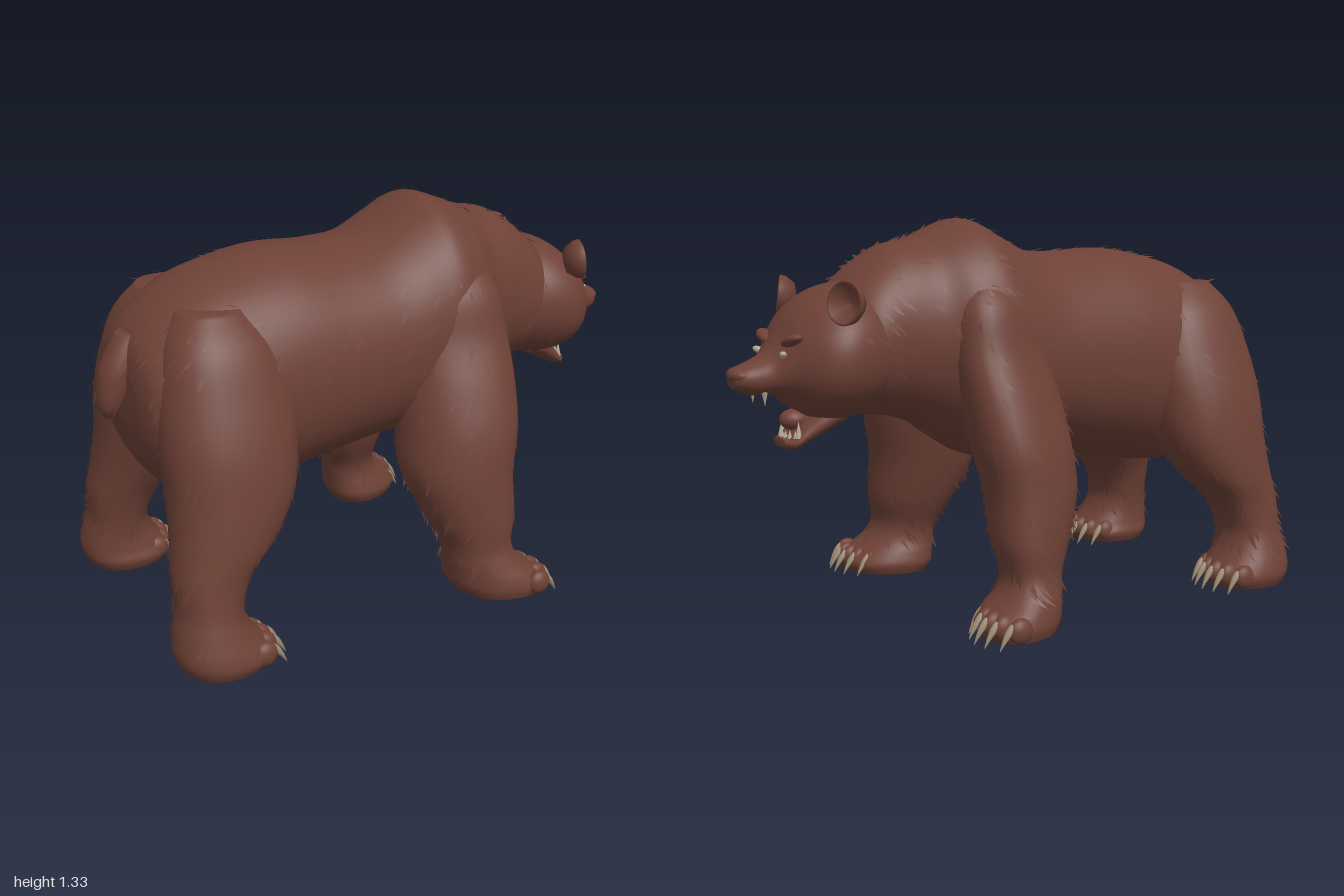
import * as THREE from 'three';
import { mergeGeometries } from 'three/addons/utils/BufferGeometryUtils.js';

const mat = (name, color) => {
  const m = new THREE.MeshStandardMaterial({ color, side: THREE.DoubleSide });
  m.name = name;
  return m;
};

// Seeded random for the scattered fur
let seed = 7;
const rnd = () => (seed = (seed * 16807) % 2147483647) / 2147483647;

// Smooth interpolation through the rows of a section table
function rowAt(rows, t) {
  const n = rows.length - 1, i = Math.min(Math.floor(t * n), n - 1), f = t * n - i;
  const [a, b, c, d] = [-1, 0, 1, 2].map(k => rows[Math.max(0, Math.min(n, i + k))]);
  return b.map((v, k) => v + 0.5 * f * (c[k] - a[k] +
    f * (2 * a[k] - 5 * v + 4 * c[k] - d[k] + f * (3 * (v - c[k]) + d[k] - a[k]))));
}

// Skin over rounded sections [s, a0, a1, b0, b1]:
// axis 'x' -> s=x, a=y, b=z;  axis 'y' -> s=y, a=x, b=z
function loft(rows, { axis = 'x', seg = 32, steps = 48, power = 0.88, shear = 0 } = {}) {
  const pos = [], idx = [];
  const put = (s, a, b) => axis === 'x' ? pos.push(s, a, b) : pos.push(a, s, b);
  const tri = (a, b, c) => axis === 'x' ? idx.push(a, b, c) : idx.push(a, c, b);
  const pw = v => Math.sign(v) * Math.abs(v) ** power;
  for (let i = 0; i <= steps; i++) {
    const [s, a0, a1, b0, b1] = rowAt(rows, i / steps);
    for (let j = 0; j < seg; j++) {
      const q = j / seg * Math.PI * 2, da = pw(Math.cos(q)) * (a1 - a0) / 2;
      put(s, (a0 + a1) / 2 + da, (b0 + b1) / 2 + pw(Math.sin(q)) * (b1 - b0) / 2 + shear * da);
    }
  }
  for (let i = 0; i < steps; i++) for (let j = 0; j < seg; j++) {
    const k = (j + 1) % seg, p = i * seg, r = p + seg;
    tri(p + j, p + k, r + j);
    tri(p + k, r + k, r + j);
  }
  const first = rows[0], last = rows[rows.length - 1], c = pos.length / 3;
  for (const e of [first, last]) put(e[0], (e[1] + e[2]) / 2, (e[3] + e[4]) / 2);
  for (let j = 0; j < seg; j++) {
    const k = (j + 1) % seg, r = steps * seg;
    tri(c, k, j);
    tri(c + 1, r + j, r + k);
  }
  const g = new THREE.BufferGeometry();
  g.setAttribute('position', new THREE.Float32BufferAttribute(pos, 3));
  g.setIndex(idx);
  g.computeVertexNormals();
  return g;
}

// Pointed locks of fur lying back and down over a surface
function furLocks(geo, count, keep = () => true) {
  const P = geo.attributes.position, N = geo.attributes.normal, pos = [], nor = [];
  for (let i = 0; i < count; i++) {
    const k = Math.floor(rnd() * P.count);
    const p = new THREE.Vector3().fromBufferAttribute(P, k);
    const n = new THREE.Vector3().fromBufferAttribute(N, k);
    if (!keep(p, n)) continue;
    const flow = new THREE.Vector3(-0.6, -0.8, (rnd() - 0.5) * 0.4);
    flow.addScaledVector(n, -flow.dot(n)).normalize();
    const side = flow.clone().cross(n).multiplyScalar(0.008 + rnd() * 0.006);
    const base = p.clone().addScaledVector(n, -0.002);
    const tip = p.clone().addScaledVector(flow, 0.035 + rnd() * 0.03).addScaledVector(n, 0.012);
    for (const v of [base.clone().add(side), tip, base.clone().sub(side)]) {
      pos.push(v.x, v.y, v.z);
      nor.push(n.x, n.y, n.z);
    }
  }
  const g = new THREE.BufferGeometry();
  g.setAttribute('position', new THREE.Float32BufferAttribute(pos, 3));
  g.setAttribute('normal', new THREE.Float32BufferAttribute(nor, 3));
  return g;
}

export function createModel() {
  const bear = new THREE.Group();
  bear.name = 'bear';
  const fur = mat('brown fur', 0x6e4136);
  const horn = mat('claw horn', 0x9c8d74);
  const ivory = mat('ivory teeth and eyes', 0xb5a892);
  const add = (name, geo, m = fur) => {
    const mesh = new THREE.Mesh(geo, m);
    mesh.name = name;
    bear.add(mesh);
    return mesh;
  };
  const ball = (x, y, z, rx, ry, rz) =>
    new THREE.SphereGeometry(1, 20, 14).scale(rx, ry, rz).translate(x, y, z);
  const even = rows => rows.map(([s, a0, a1, w]) => [s, a0, a1, -w, w]);
  const locks = [];

  // Trunk with rump, belly, shoulder hump and neck
  const body = loft(even([
    [-0.925, 0.72, 0.9, 0.14], [-0.9, 0.6, 1.0, 0.24], [-0.82, 0.49, 1.09, 0.31],
    [-0.7, 0.43, 1.16, 0.35], [-0.55, 0.43, 1.2, 0.36], [-0.4, 0.46, 1.22, 0.36],
    [-0.22, 0.49, 1.21, 0.36], [-0.06, 0.51, 1.22, 0.36], [0.07, 0.5, 1.28, 0.365],
    [0.17, 0.52, 1.325, 0.365], [0.27, 0.58, 1.295, 0.34], [0.36, 0.64, 1.26, 0.28],
    [0.47, 0.675, 1.235, 0.25], [0.58, 0.69, 1.16, 0.24], [0.66, 0.72, 1.08, 0.19],
  ]), { seg: 56, steps: 90, power: 0.95 });
  add('body', body);
  locks.push(furLocks(body, 800, (p, n) => n.y > -0.3 && Math.abs(p.x) < 0.9 && p.x < 0.6));

  // Skull and muzzle
  const head = loft(even([
    [0.5, 0.76, 1.06, 0.2], [0.56, 0.7, 1.11, 0.245], [0.63, 0.68, 1.12, 0.27],
    [0.7, 0.68, 1.1, 0.275], [0.76, 0.7, 1.06, 0.25], [0.805, 0.735, 1.01, 0.2],
    [0.84, 0.76, 0.955, 0.145], [0.875, 0.77, 0.91, 0.1], [0.92, 0.772, 0.885, 0.078],
    [0.965, 0.785, 0.868, 0.06], [0.99, 0.8, 0.85, 0.035],
  ]), { seg: 44, steps: 60, power: 0.95 });
  add('head', head);
  locks.push(furLocks(head, 70, p => p.x < 0.66));
  add('nose', ball(0.965, 0.838, 0, 0.035, 0.028, 0.058));
  add('lowerJaw', loft(even([
    [0.6, 0.69, 0.8, 0.13], [0.69, 0.645, 0.75, 0.115], [0.76, 0.61, 0.69, 0.092],
    [0.805, 0.592, 0.642, 0.078], [0.835, 0.602, 0.63, 0.045],
  ]), { steps: 24 }));
  add('tongue', ball(0.78, 0.685, 0, 0.05, 0.035, 0.045).rotateZ(0));

  // Tail
  const tail = loft(even([
    [0.74, -0.985, -0.95, 0.02], [0.79, -1.0, -0.92, 0.05], [0.9, -0.985, -0.86, 0.065],
    [1.01, -0.925, -0.78, 0.05],
  ]), { axis: 'y', steps: 20 });
  add('tail', tail);
  locks.push(furLocks(tail, 16));

  // Front teeth along the lower gum
  const teeth = [];
  for (let i = -3; i <= 3; i++) teeth.push(new THREE.ConeGeometry(0.01, 0.03, 6)
    .translate(0.822 - 0.0022 * i * i, 0.641, i * 0.019));

  for (const s of [1, -1]) {
    const side = s > 0 ? 'left' : 'right';
    const mirror = rows => s > 0 ? rows : rows.map(([y, a, b, c, d]) => [y, a, b, -d, -c]);

    // Legs, from sole to shoulder or hip
    const front = loft(mirror([
      [0.015, 0.09, 0.36, 0.32, 0.6], [0.05, 0.07, 0.375, 0.305, 0.61],
      [0.09, 0.065, 0.345, 0.31, 0.6], [0.14, 0.06, 0.285, 0.32, 0.575],
      [0.2, 0.05, 0.26, 0.31, 0.555], [0.3, 0.0, 0.28, 0.26, 0.55],
      [0.45, -0.055, 0.285, 0.2, 0.535], [0.6, -0.05, 0.315, 0.165, 0.515],
      [0.75, -0.035, 0.33, 0.14, 0.465], [0.9, -0.02, 0.335, 0.1, 0.4],
      [1.05, 0.01, 0.32, 0.07, 0.355], [1.17, 0.08, 0.25, 0.1, 0.25],
    ]), { axis: 'y', shear: 0.25 * s, steps: 64 });
    const hind = loft(mirror([
      [0.015, -0.93, -0.66, 0.28, 0.54], [0.05, -0.95, -0.64, 0.265, 0.555],
      [0.09, -0.955, -0.665, 0.275, 0.55], [0.15, -0.945, -0.71, 0.28, 0.53],
      [0.22, -0.93, -0.725, 0.27, 0.51], [0.32, -0.93, -0.68, 0.24, 0.5],
      [0.42, -0.915, -0.58, 0.19, 0.5], [0.55, -0.905, -0.5, 0.13, 0.49],
      [0.7, -0.905, -0.47, 0.09, 0.465], [0.85, -0.89, -0.46, 0.06, 0.415],
      [1.0, -0.85, -0.5, 0.05, 0.35], [1.1, -0.78, -0.58, 0.06, 0.26],
    ]), { axis: 'y', steps: 64 });
    add(side + 'FrontLeg', front);
    add(side + 'HindLeg', hind);
    for (const leg of [front, hind]) locks.push(furLocks(leg, 330, p => p.y > 0.13));

    // Toes and hooked claws on each paw
    for (const [paw, dx, z0] of [['Front', 0, 0.4], ['Hind', -1.01, 0.31]]) {
      const toes = [], claws = [];
      for (let i = 0; i < 5; i++) {
        const x = dx - 0.009 * (i - 2.2) ** 2, z = s * (z0 + i * 0.052);
        toes.push(ball(x + 0.338, 0.062, z, 0.042, 0.042, 0.028));
        claws.push(loft([
          [x + 0.335, 0.07, 0.1, z - 0.013, z + 0.013], [x + 0.37, 0.055, 0.09, z - 0.013, z + 0.013],
          [x + 0.395, 0.03, 0.06, z - 0.009, z + 0.009], [x + 0.413, 0.008, 0.013, z - 0.002, z + 0.002],
        ], { seg: 10, steps: 9, power: 1 }));
      }
      add(side + paw + 'Toes', mergeGeometries(toes));
      add(side + paw + 'Claws', mergeGeometries(claws), horn);
    }

    // Cupped ear
    const cup = [[0, -0.03], [0.045, -0.02], [0.066, 0.01], [0.07, 0.03], [0.062, 0.035],
      [0.045, 0.012], [0, 0]].map(p => new THREE.Vector2(...p));
    const ear = add(side + 'Ear', new THREE.LatheGeometry(cup, 28).rotateZ(-Math.PI / 2));
    ear.position.set(0.69, 1.065, s * 0.24);
    ear.rotation.set(0, -s * 0.4, 0.1);

    // Brow, eye and fangs
    add(side + 'Brow', ball(0, 0, 0, 0.03, 0.02, 0.06).rotateX(-s * 0.3).translate(0.825, 0.945, s * 0.1));
    add(side + 'Eye', ball(0, 0, 0, 0.012, 0.011, 0.023).rotateX(-s * 0.25)
      .rotateY(s * 0.5).translate(0.856, 0.905, s * 0.1), ivory);
    teeth.push(new THREE.ConeGeometry(0.012, 0.055, 8).translate(0.795, 0.66, s * 0.066));
    teeth.push(new THREE.ConeGeometry(0.012, 0.05, 8).rotateX(Math.PI).translate(0.9, 0.765, s * 0.05));
  }
  add('teeth', mergeGeometries(teeth), ivory);
  add('furLocks', mergeGeometries(locks));
  return bear;
}
